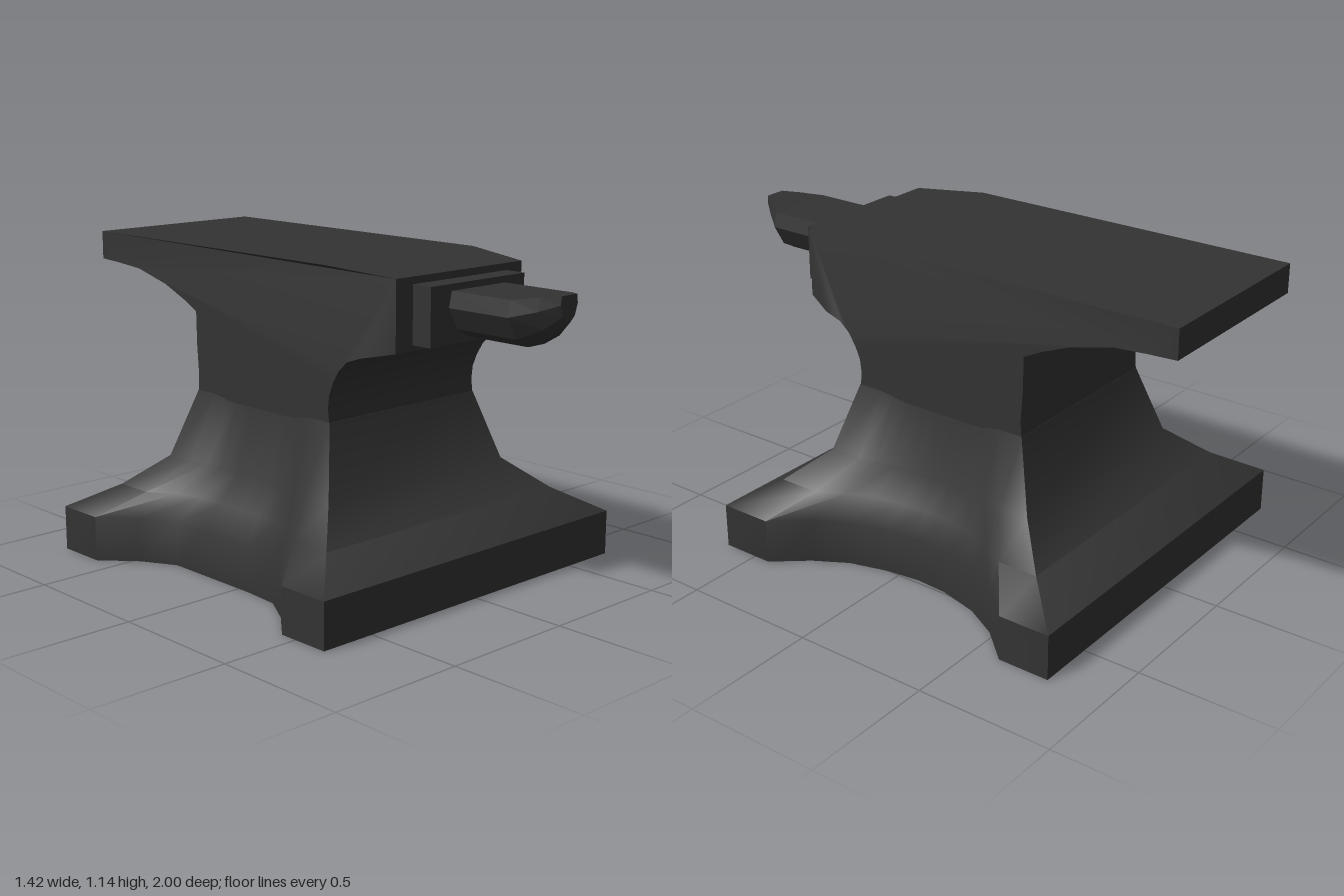
import * as THREE from 'three';
import { toCreasedNormals } from 'three/addons/utils/BufferGeometryUtils.js';

// Skin a list of equal-length closed rings ([x, y, z] points) and cap both ends.
// Rings run counter-clockwise when seen from the end they advance towards.
function loft(rings) {
  const pos = [], index = [], n = rings[0].length;
  rings.forEach(r => r.forEach(p => pos.push(...p)));
  for (let i = 0; i < rings.length - 1; i++) {
    for (let j = 0; j < n; j++) {
      const a = i * n + j, b = i * n + (j + 1) % n;
      index.push(a, b, b + n, a, b + n, a + n);
    }
  }
  [0, rings.length - 1].forEach((i, end) => {
    const c = pos.length / 3;
    for (let k = 0; k < 3; k++) pos.push(rings[i].reduce((s, p) => s + p[k], 0) / n);
    for (let j = 0; j < n; j++) {
      const a = i * n + j, b = i * n + (j + 1) % n;
      if (end) index.push(c, a, b); else index.push(c, b, a);
    }
  });
  const g = new THREE.BufferGeometry();
  g.setAttribute('position', new THREE.Float32BufferAttribute(pos, 3));
  g.setIndex(index);
  return g;
}

// Flared foot: straight front and back, hollowed sides, drawn in towards the waist
function footGeometry() {
  // [position along the side from back (0) to front (1), flare from middle (0) to corner (1)]
  const side = [[0, 1], [0.135, 1], [0.22, 0.51], [0.31, 0.2], [0.415, 0.03], [0.5, 0],
    [0.59, 0.07], [0.69, 0.245], [0.775, 0.555], [0.86, 1], [1, 1]];
  // [y, back z, front z, corner half width, middle half width]
  const levels = [
    [0, -0.79, 0.635, 0.71, 0.485],
    [0.165, -0.79, 0.635, 0.71, 0.485],
    [0.255, -0.635, 0.485, 0.56, 0.44],
    [0.367, -0.505, 0.355, 0.43, 0.39],
    [0.615, -0.425, 0.28, 0.355, 0.35],
  ];
  return loft(levels.map(([y, back, front, wide, narrow]) => {
    const point = (s, t, k) => [s * (narrow + (wide - narrow) * k), y, back + (front - back) * t];
    const right = side.map(([t, k]) => point(1, t, k)).reverse();
    const left = side.map(([t, k]) => point(-1, t, Math.max(k, 0.2)));
    return [...right, ...left];
  }));
}

// Waist, face and heel: a side profile in (z, y) extruded across the width
function bodyGeometry() {
  const half = 0.355;
  const profile = [[-0.425, 0.6], [0.28, 0.6], [0.272, 0.66], [0.278, 0.71], [0.297, 0.755],
    [0.325, 0.8], [0.365, 0.835], [0.43, 0.857], [0.54, 0.88], [0.54, 1.125], [0.27, 1.145],
    [-1, 1.145], [-1, 1.04], [-0.9, 1.035], [-0.77, 1.025], [-0.61, 0.985], [-0.5, 0.94],
    [-0.43, 0.905], [-0.428, 0.78], [-0.42, 0.67]];
  const shape = new THREE.Shape(profile.map(p => new THREE.Vector2(...p)));
  const g = new THREE.ExtrudeGeometry(shape, { depth: 2 * half, bevelEnabled: false });
  g.translate(0, 0, -half).rotateY(-Math.PI / 2);
  // narrow the front end of the face
  const p = g.attributes.position;
  for (let i = 0; i < p.count; i++) {
    if (p.getZ(i) > 0.5) p.setX(i, Math.sign(p.getX(i)) * 0.305);
  }
  return g;
}

// Short faceted horn: flat top, rounded belly, rising to a blunt tip
function hornGeometry() {
  const section = [[0.13, 1], [0.143, 0.66], [0.1, 0.2], [0.04, 0]];
  // [z, width scale, bottom y, top y]
  const stations = [[0.6, 1, 0.915, 1.077], [0.87, 1, 0.915, 1.077],
    [0.945, 0.6, 0.955, 1.088], [1, 0.29, 1.01, 1.094]];
  return loft(stations.map(([z, s, low, high]) => {
    const right = section.map(([x, v]) => [x * s, low + (high - low) * v, z]);
    const left = right.map(([x, y]) => [-x, y, z]);
    return [...right.reverse(), ...left];
  }));
}

export function createModel() {
  const group = new THREE.Group();
  group.name = 'anvil';
  const iron = new THREE.MeshStandardMaterial({ color: 0x333333 });
  const facetedIron = new THREE.MeshStandardMaterial({ color: 0x333333, flatShading: true });

  const add = (name, geometry, material) => {
    const mesh = new THREE.Mesh(geometry, material);
    mesh.name = name;
    group.add(mesh);
    return mesh;
  };

  add('foot', toCreasedNormals(footGeometry(), 0.8), iron);
  add('body', toCreasedNormals(bodyGeometry(), 0.6), iron);

  // Block between the face and the horn
  add('collar', new THREE.BoxGeometry(0.455, 0.2, 0.1), iron).position.set(0, 1.0, 0.57);

  add('horn', hornGeometry(), facetedIron);
  return group;
}
